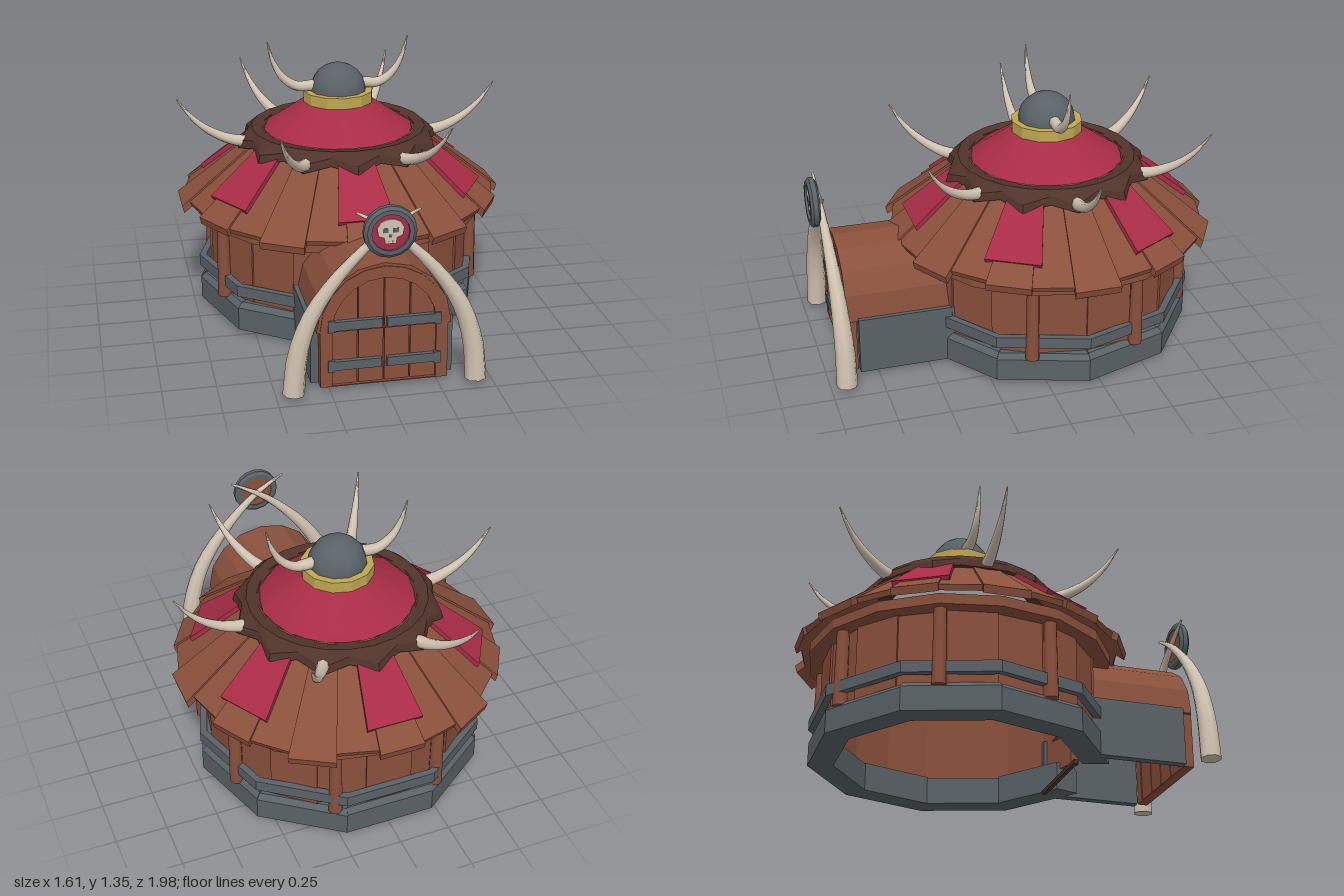
import * as THREE from 'three';
import { toCreasedNormals } from 'three/addons/utils/BufferGeometryUtils.js';

const mat = (name, color) => Object.assign(new THREE.MeshStandardMaterial({ color }), { name });
const wood = mat('wood', 0x8a503b);
const darkWood = mat('darkWood', 0x50342a);
const red = mat('redCloth', 0xa82c45);
const stone = mat('greyStone', 0x596267);
const gold = mat('gold', 0xc0a850);
const bone = mat('bone', 0xd2c4b2);
wood.side = THREE.DoubleSide;
const rad = THREE.MathUtils.degToRad;

// Solid between two angles (degrees) with convex [radius, y] profiles, listed counter-clockwise.
function sector(a0, a1, prof0, prof1 = prof0) {
  const at = (a, [r, y]) => [r * Math.cos(rad(a)), y, r * Math.sin(rad(a))];
  const A = prof0.map(p => at(a0, p)), B = prof1.map(p => at(a1, p));
  const out = [], n = A.length;
  const tri = (...pts) => pts.forEach(p => out.push(...p));
  for (let i = 0; i < n; i++) {
    const j = (i + 1) % n;
    tri(A[i], A[j], B[j]);
    tri(A[i], B[j], B[i]);
    if (i > 0 && i < n - 1) {
      tri(A[0], A[j], A[i]);
      tri(B[0], B[i], B[j]);
    }
  }
  const g = new THREE.BufferGeometry();
  g.setAttribute('position', new THREE.Float32BufferAttribute(out, 3));
  g.computeVertexNormals();
  return g;
}

// Tapered curved horn with a closed base.
function horn(points, r0, r1) {
  const curve = new THREE.CatmullRomCurve3(points.map(p => new THREE.Vector3(...p)));
  const seg = 14, sides = 8;
  const g = new THREE.TubeGeometry(curve, seg, 1, sides);
  const pos = g.attributes.position, v = new THREE.Vector3();
  for (let i = 0; i <= seg; i++) {
    const c = curve.getPointAt(i / seg), base = i < 2 ? curve.getPointAt(0) : c;
    const k = i === 0 ? 0 : r0 + (r1 - r0) * Math.pow(i / seg, 1.2);
    for (let j = 0; j <= sides; j++) {
      const id = i * (sides + 1) + j;
      v.fromBufferAttribute(pos, id).sub(c).multiplyScalar(k).add(base);
      pos.setXYZ(id, v.x, v.y, v.z);
    }
  }
  return toCreasedNormals(g, 0.9);
}

const lathe = (pts, seg, crease) =>
  toCreasedNormals(new THREE.LatheGeometry(pts.map(p => new THREE.Vector2(...p)), seg), crease);

// Round-topped door outline: straight sides up to y = 0.3, then an arch.
function archPoints(w, bottom, n = 10) {
  const pts = [new THREE.Vector2(-w, bottom), new THREE.Vector2(w, bottom)];
  for (let i = 0; i <= n; i++) {
    const a = Math.PI * i / n;
    pts.push(new THREE.Vector2(w * Math.cos(a), 0.3 + w * Math.sin(a)));
  }
  return pts;
}

export function createModel() {
  const model = new THREE.Group();
  model.name = 'roundHut';
  const add = (parent, name, geo, material, x = 0, y = 0, z = 0) => {
    const m = new THREE.Mesh(geo, material);
    m.name = name;
    m.position.set(x, y, z);
    parent.add(m);
    return m;
  };
  const box = (parent, name, material, w, h, d, x, y, z) =>
    add(parent, name, new THREE.BoxGeometry(w, h, d), material, x, y, z);
  const extrude = (shape, depth) => new THREE.ExtrudeGeometry(shape, { depth, bevelEnabled: false });

  const hut = new THREE.Group();
  hut.name = 'hut';
  hut.position.z = -0.19;
  model.add(hut);

  // Stone footing and iron band: ten sides, open towards the porch
  for (let i = 0; i < 10; i++) {
    if (i === 2) continue;
    const a = i * 36, top = 0.155 + 0.006 * (i % 2);
    add(hut, 'footingBlock', sector(a, a + 36,
      [[0.59, 0.02], [0.715, 0.02], [0.715, top - 0.025], [0.69, top], [0.59, top]]), stone);
    add(hut, 'ironBand', sector(a, a + 36, [[0.685, 0.2], [0.72, 0.2], [0.72, 0.255], [0.685, 0.255]]), stone);
  }

  // Wall planks, leaving the doorway free
  for (let i = 0; i < 18; i++) {
    if (i === 4) continue;
    const r = i % 2 ? 0.662 : 0.652;
    add(hut, 'wallPlank', sector(i * 20, i * 20 + 20, [[0.62, 0.13], [r, 0.13], [r, 0.53], [0.62, 0.53]]), wood);
  }
  for (const a of [-67.5, -22.5, 22.5, 157.5, 202.5, 247.5])
    add(hut, 'wallPost', new THREE.CylinderGeometry(0.03, 0.035, 0.39, 8), wood,
      0.675 * Math.cos(rad(a)), 0.335, 0.675 * Math.sin(rad(a)));

  // Eave ring and ceiling
  for (let i = 0; i < 16; i++)
    add(hut, 'eaveRing', sector(i * 22.5, i * 22.5 + 22.5,
      [[0.63, 0.51], [0.735, 0.51], [0.735, 0.56], [0.63, 0.56]]), wood);
  add(hut, 'ceiling', new THREE.CircleGeometry(0.65, 24), wood, 0, 0.525, 0).rotation.x = Math.PI / 2;

  // Roof planks of uneven length
  const roofY = r => 0.84 - (r - 0.45) * 0.78;
  for (let i = 0; i < 24; i++) {
    const a = i * 15, r = [0.815, 0.785, 0.8, 0.775][i % 4], lift = i % 2 ? 0 : 0.012, half = i % 2 ? 7.5 : 7.9;
    add(hut, 'roofPlank', sector(a - half, a + half, [[0.38, 0.85], [r - 0.01, roofY(r) - 0.025],
      [r, roofY(r) + lift], [0.38, roofY(0.38) + lift]]), wood);
  }

  // Six cloth flaps with a horn between each pair
  const flap = [[0.42, 0.85], [0.7, 0.635], [0.715, 0.66], [0.42, 0.89]];
  for (let i = 0; i < 6; i++) {
    add(hut, 'clothFlap', sector(i * 60 + 19, i * 60 + 41, flap), red);
    const h = horn([[0.43, 0.845, 0], [0.53, 0.86, 0], [0.64, 0.91, 0], [0.73, 0.985, 0], [0.805, 1.085, 0]], 0.033, 0.003);
    add(hut, 'roofHorn', h, bone).rotation.y = rad(i * 60);
  }

  // Jagged hide collar
  const collar = i => {
    const [r, y] = i % 2 ? [0.465, 0.845] : [0.51, 0.815];
    return [[0.36, 0.82], [r, y], [r - 0.01, y + 0.04], [0.435, 0.91], [0.37, 0.9]];
  };
  for (let i = 0; i < 24; i++)
    add(hut, 'hideCollar', sector(i * 15, i * 15 + 15, collar(i), collar(i + 1)), darkWood);

  // Crown: cloth cone, gold ring, dome and two horns
  add(hut, 'clothCone', lathe([[0.4, 0.885], [0.3, 0.95], [0.17, 1.04]], 12, 0.6), red);
  add(hut, 'goldRing', lathe([[0.13, 1.035], [0.175, 1.035], [0.175, 1.092], [0.13, 1.092]], 12, 0.45), gold);
  add(hut, 'dome', new THREE.SphereGeometry(0.142, 12, 6, 0, Math.PI * 2, 0, Math.PI / 2), stone, 0, 1.085, 0);
  for (const s of [-1, 1])
    add(hut, 'crownHorn', horn([[s * 0.12, 1.12, 0], [s * 0.21, 1.12, 0], [s * 0.28, 1.17, 0],
      [s * 0.325, 1.25, 0], [s * 0.352, 1.35, 0]], 0.03, 0.003), bone);

  // Porch: stone side walls under a faceted wooden vault
  const porch = new THREE.Group();
  porch.name = 'porch';
  model.add(porch);
  for (const s of [-1, 1]) box(porch, 'porchWall', stone, 0.045, 0.285, 0.5, s * 0.308, 0.1625, 0.59);
  const vault = new THREE.Shape(archPoints(0.31, 0.29, 8));
  vault.holes.push(new THREE.Path(archPoints(0.28, 0.295, 8)));
  add(porch, 'vault', extrude(vault, 0.52), wood, 0, 0, 0.37);
  box(porch, 'threshold', darkWood, 0.47, 0.02, 0.02, 0, 0.01, 0.32);

  // Door frame, planked leaves and hinge straps
  const frame = new THREE.Shape(archPoints(0.295, 0.02));
  frame.holes.push(new THREE.Path(archPoints(0.24, 0.025)));
  add(porch, 'doorFrame', extrude(frame, 0.05), wood, 0, 0, 0.845);
  const edge = x => 0.3 + Math.sqrt(Math.max(0, 0.245 ** 2 - x * x));
  for (const s of [-1, 1]) {
    for (const [x0, x1] of [[0.003, 0.117], [0.123, 0.243]]) {
      const plank = new THREE.Shape();
      plank.moveTo(s * x0, 0.02);
      plank.lineTo(s * x1, 0.02);
      for (let i = 0; i <= 4; i++) {
        const x = x1 + (x0 - x1) * i / 4;
        plank.lineTo(s * x, edge(x));
      }
      add(porch, 'doorPlank', extrude(plank, 0.03), wood, 0, 0, 0.85);
    }
    for (const y of [0.125, 0.322]) {
      box(porch, 'hingeStrap', stone, 0.23, 0.044, 0.03, s * 0.127, y, 0.887);
      box(porch, 'hingeEnd', stone, 0.03, 0.056, 0.036, s * 0.245, y, 0.887);
    }
    // Great curved tusks crossing over the door
    add(model, 'archTusk', horn([[s * 0.423, 0.02, 0.925], [s * 0.405, 0.2, 0.925], [s * 0.345, 0.39, 0.93],
      [s * 0.245, 0.55, 0.935], [s * 0.12, 0.69, 0.94], [0, 0.795, 0.94 + s * 0.004],
      [-s * 0.145, 0.88, 0.945]], 0.053, 0.006), bone);
  }

  // Round shield with a painted skull
  const shield = new THREE.Group();
  shield.name = 'shield';
  shield.position.set(0, 0.795, 0.953);
  model.add(shield);
  add(shield, 'shieldRim', lathe([[0.085, 0], [0.105, 0], [0.12, 0.01], [0.12, 0.034], [0.105, 0.046],
    [0.085, 0.046], [0.085, 0]], 16, 0.5), stone).rotation.x = Math.PI / 2;
  const disc = (name, m, depth, z) =>
    add(shield, name, new THREE.CylinderGeometry(0.09, 0.09, depth, 16), m, 0, 0, z).rotation.x = Math.PI / 2;
  disc('shieldBack', wood, 0.02, 0.014);
  disc('shieldFace', red, 0.01, 0.029);
  const half = [[0.024, -0.052], [0.028, -0.025], [0.054, -0.015], [0.06, 0.02], [0.045, 0.047], [0.018, 0.06]];
  const outline = [...half, ...half.map(([x, y]) => [-x, y]).reverse()].map(p => new THREE.Vector2(...p));
  add(shield, 'skull', extrude(new THREE.Shape(outline), 0.006), bone, 0, 0, 0.034);
  for (const s of [-1, 1]) {
    box(shield, 'eyeSocket', stone, 0.024, 0.02, 0.003, s * 0.024, 0.01, 0.041);
    box(shield, 'toothGap', stone, 0.003, 0.014, 0.003, s * 0.009, -0.045, 0.041);
  }
  box(shield, 'noseHole', stone, 0.011, 0.013, 0.003, 0, -0.015, 0.041);
  return model;
}
